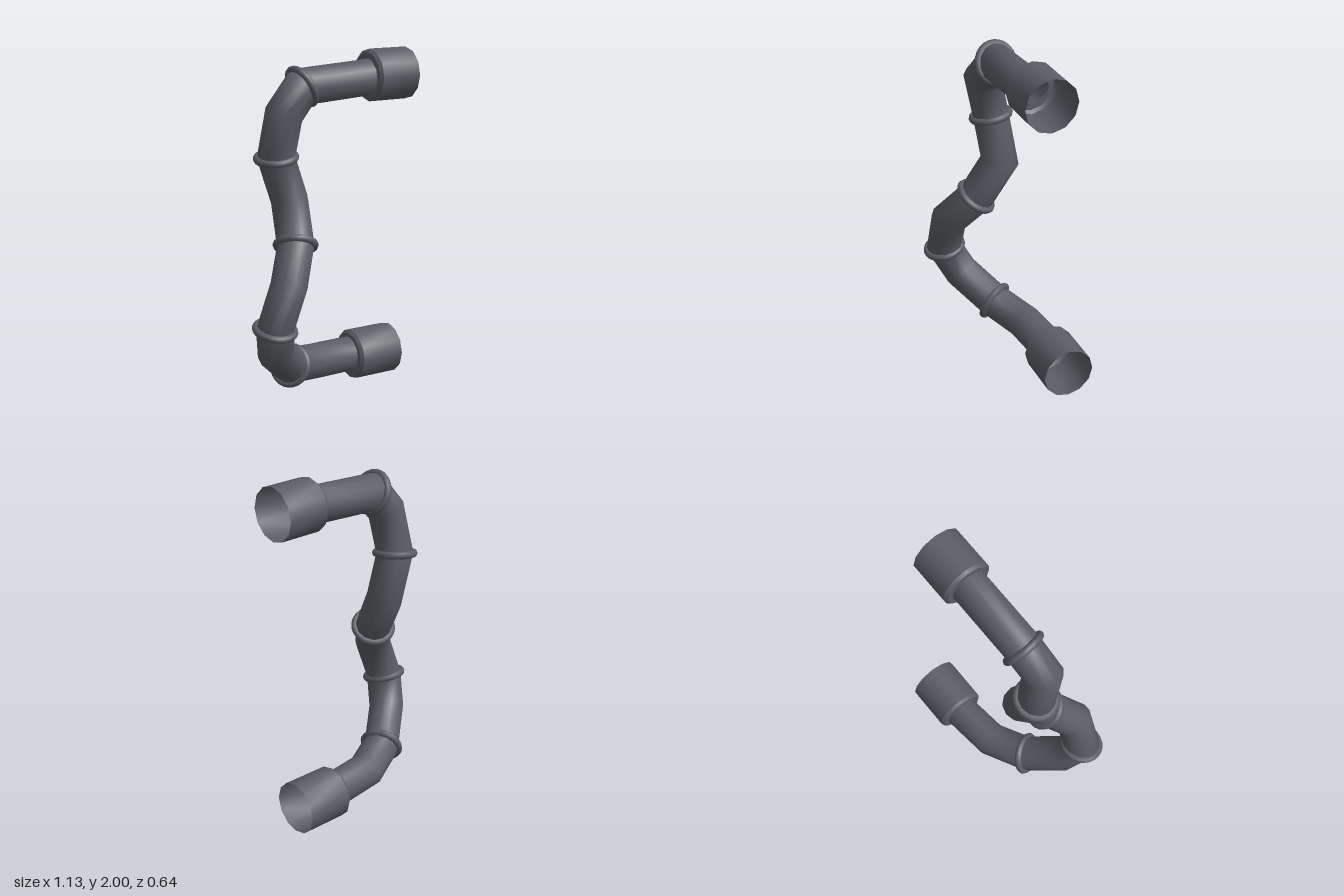
import * as THREE from 'three';
import { toCreasedNormals } from 'three/addons/utils/BufferGeometryUtils.js';

const SIDES = 12;
const RADIUS = 0.105;
const V = (x, y, z) => new THREE.Vector3(x, y, z);

// Centre line from the top socket to the bottom one; "ring" marks a joint bead
const path = [
  { p: V(0.31, 1.84, -0.03) },
  { p: V(-0.135, 1.815, -0.025), ring: true },
  { p: V(-0.265, 1.675, 0.0) },
  { p: V(-0.285, 1.43, -0.055), ring: true },
  { p: V(-0.193, 1.18, -0.07) },
  { p: V(-0.232, 0.95, 0.063), ring: true },
  { p: V(-0.35, 0.765, 0.19) },
  { p: V(-0.44, 0.525, 0.19), ring: true },
  { p: V(-0.385, 0.36, 0.105) },
  { p: V(-0.21, 0.21, -0.042), ring: true },
  { p: V(0.01, 0.165, -0.145) },
  { p: V(0.285, 0.155, -0.175) },
];

const direction = (i) => path[i + 1].p.clone().sub(path[i].p).normalize();

// Normal of the mitre plane at a path point
function mitre(i) {
  if (i === 0) return V(-1, 0, 0);
  if (i === path.length - 1) return V(1, 0, 0);
  return direction(i - 1).add(direction(i)).normalize();
}

// Constant-width pipe with mitred bends: each section is slid along its segment
function pipeGeometry() {
  let section = [];
  for (let k = 0; k < SIDES; k++) {
    const a = (k / SIDES) * Math.PI * 2;
    section.push(path[0].p.clone().add(V(0, RADIUS * Math.cos(a), RADIUS * Math.sin(a))));
  }
  const points = [...section];
  const index = [];
  for (let i = 1; i < path.length; i++) {
    const d = direction(i - 1);
    const n = mitre(i);
    section = section.map((q) => {
      const t = path[i].p.clone().sub(q).dot(n) / d.dot(n);
      return q.clone().addScaledVector(d, t);
    });
    points.push(...section);
    for (let k = 0; k < SIDES; k++) {
      const a = (i - 1) * SIDES + k;
      const b = (i - 1) * SIDES + ((k + 1) % SIDES);
      index.push(a, a + SIDES, b, b, a + SIDES, b + SIDES);
    }
  }
  const geometry = new THREE.BufferGeometry().setFromPoints(points);
  geometry.setIndex(index);
  geometry.computeVertexNormals();
  return geometry;
}

// Wide open-ended socket with a bevelled shoulder, pointing along +x
function socketGeometry(length) {
  const profile = [[0.1, 0], [0.134, 0], [0.15, 0.018], [0.15, length]];
  const lathe = new THREE.LatheGeometry(profile.map(([r, y]) => new THREE.Vector2(r, y)), SIDES);
  return toCreasedNormals(lathe.rotateZ(-Math.PI / 2), 0.65);
}

export function createModel() {
  const model = new THREE.Group();
  const material = new THREE.MeshStandardMaterial({ color: 0x5a5d64, side: THREE.DoubleSide });

  const add = (name, geometry, position) => {
    const mesh = new THREE.Mesh(geometry, material);
    mesh.name = name;
    if (position) mesh.position.copy(position);
    model.add(mesh);
    return mesh;
  };

  add('pipe', pipeGeometry());

  // Beads around the joints
  const bead = new THREE.TorusGeometry(0.108, 0.021, 8, 24);
  path.forEach(({ p, ring }, i) => {
    if (!ring) return;
    add('jointRing', bead, p).quaternion.setFromUnitVectors(V(0, 0, 1), mitre(i));
  });

  // Sockets at both ends
  add('topSocket', socketGeometry(0.265), V(0.3, 1.85, -0.035));
  add('bottomSocket', socketGeometry(0.29), V(0.275, 0.15, -0.173));

  return model;
}
